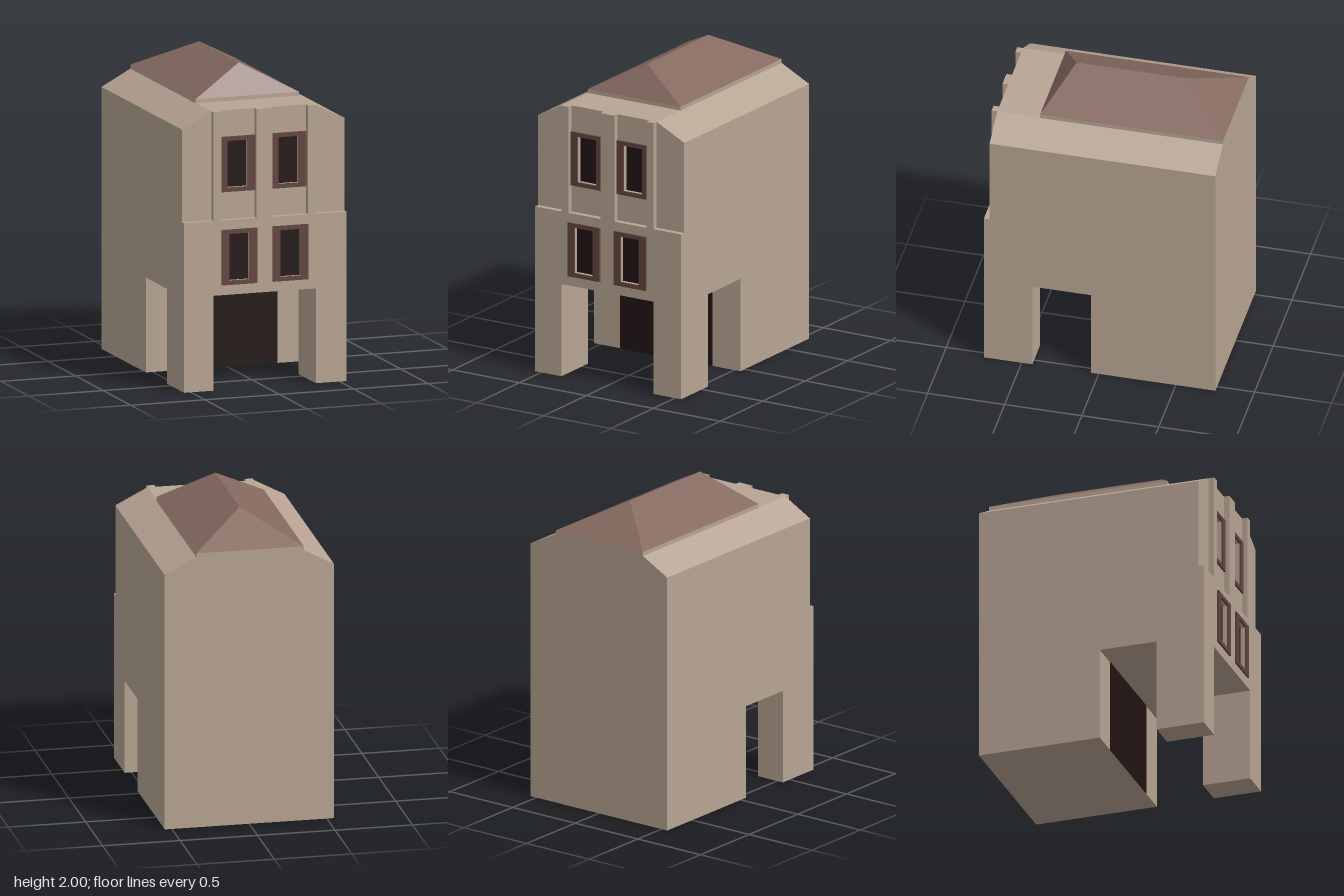
import * as THREE from 'three';

const material = (color) => new THREE.MeshStandardMaterial({ color, flatShading: true });

export function createModel() {
  const model = new THREE.Group();
  const stone = material(0xb8a594);
  const tile = material(0x84695f);
  const trim = material(0x62453f);
  const dark = material(0x221415);

  const CX = -0.005;               // axis of the facade and roof
  const W = 0.546;                 // half width of the house
  const L = CX - 0.344, R = CX + 0.344; // opening, eaves and outer pilasters
  const BACK = -0.757, INNER = 0.05, PIER = 0.43, WALL = 0.708, FRONT = 0.745;
  const LINTEL = 0.61, LEDGE = 1.09, EAVE = 1.685, TOP = 1.79;

  const add = (name, geometry, mat) => {
    const mesh = new THREE.Mesh(geometry, mat);
    mesh.name = name;
    model.add(mesh);
    return mesh;
  };
  const box = (name, mat, x0, x1, y0, y1, z0, z1) =>
    add(name, new THREE.BoxGeometry(x1 - x0, y1 - y0, z1 - z0), mat)
      .position.set((x0 + x1) / 2, (y0 + y1) / 2, (z0 + z1) / 2);
  const extrude = (name, mat, shape, z0, z1) =>
    add(name, new THREE.ExtrudeGeometry(shape, { depth: z1 - z0, bevelEnabled: false }), mat)
      .position.z = z0;

  const outline = (points) => new THREE.Shape(points.map(([x, y]) => new THREE.Vector2(x, y)));
  const rect = (x, y, w, h) => outline([
    [x - w / 2, y - h / 2], [x + w / 2, y - h / 2], [x + w / 2, y + h / 2], [x - w / 2, y + h / 2],
  ]);
  // House section with chamfered shoulders
  const section = (y0) => outline([[-W, y0], [W, y0], [W, EAVE], [R, TOP], [L, TOP], [-W, EAVE]]);

  // Window bays
  const bays = [CX - 0.172, CX + 0.172];
  const paneW = 0.143, paneH = 0.305, frameW = 0.238, frameH = 0.355;
  const lowY = 0.852, highY = 1.443;
  const pierce = (shape, y) => {
    bays.forEach((x) => shape.holes.push(rect(x, y, paneW, paneH)));
    return shape;
  };

  // Main volumes: rear block, storeys over the passage, front walls
  extrude('rearBlock', stone, section(0), BACK, INNER);
  extrude('upperStoreys', stone, section(LINTEL), INNER, WALL - 0.035);
  extrude('upperFrontWall', stone, pierce(section(LINTEL), highY), WALL - 0.035, WALL);
  const belt = rect(0, (LINTEL + LEDGE) / 2, 2 * W, LEDGE - LINTEL);
  extrude('lowerFrontWall', stone, pierce(belt, lowY), WALL, FRONT);

  // Front piers and the dark doorway at the back of the passage
  box('leftPier', stone, R, W, 0, LINTEL, PIER, FRONT);
  box('rightPier', stone, -W, L, 0, LINTEL, PIER, FRONT);
  box('doorway', dark, L, R, 0, LINTEL, INNER, INNER + 0.004);

  // Pilasters between the upper window bays
  const inner = 0.172 - frameW / 2, outer = 0.172 + frameW / 2;
  for (const [x0, x1] of [[L, CX - outer], [CX - inner, CX + inner], [CX + outer, R]]) {
    box('pilaster', stone, x0, x1, LEDGE, TOP, WALL, FRONT);
  }

  // Windows: projecting frame around a sunken pane
  for (const [y, z] of [[lowY, FRONT], [highY, WALL]]) {
    for (const x of bays) {
      const frame = rect(x, y, frameW, frameH);
      frame.holes.push(rect(x, y, paneW - 0.004, paneH - 0.004));
      extrude('windowFrame', trim, frame, z, z + 0.012);
      box('windowPane', dark, x - paneW / 2, x + paneW / 2, y - paneH / 2, y + paneH / 2, z - 0.034, z - 0.028);
    }
  }

  // Roof: low base and hipped top
  const roofL = CX - 0.347, roofR = CX + 0.347, base = 1.815;
  box('roofBase', stone, roofL, roofR, TOP - 0.01, base, BACK, PIER);
  const a = [roofL, base, PIER], b = [roofR, base, PIER], c = [roofR, base, BACK], d = [roofL, base, BACK];
  const f = [CX, 2, 0.277], r = [CX, 2, -0.443];
  const faces = [a, b, f, b, c, r, b, r, f, c, d, r, d, a, f, d, f, r];
  const hip = new THREE.BufferGeometry();
  hip.setAttribute('position', new THREE.Float32BufferAttribute(faces.flat(), 3));
  hip.computeVertexNormals();
  add('hippedRoof', hip, tile);

  return model;
}
